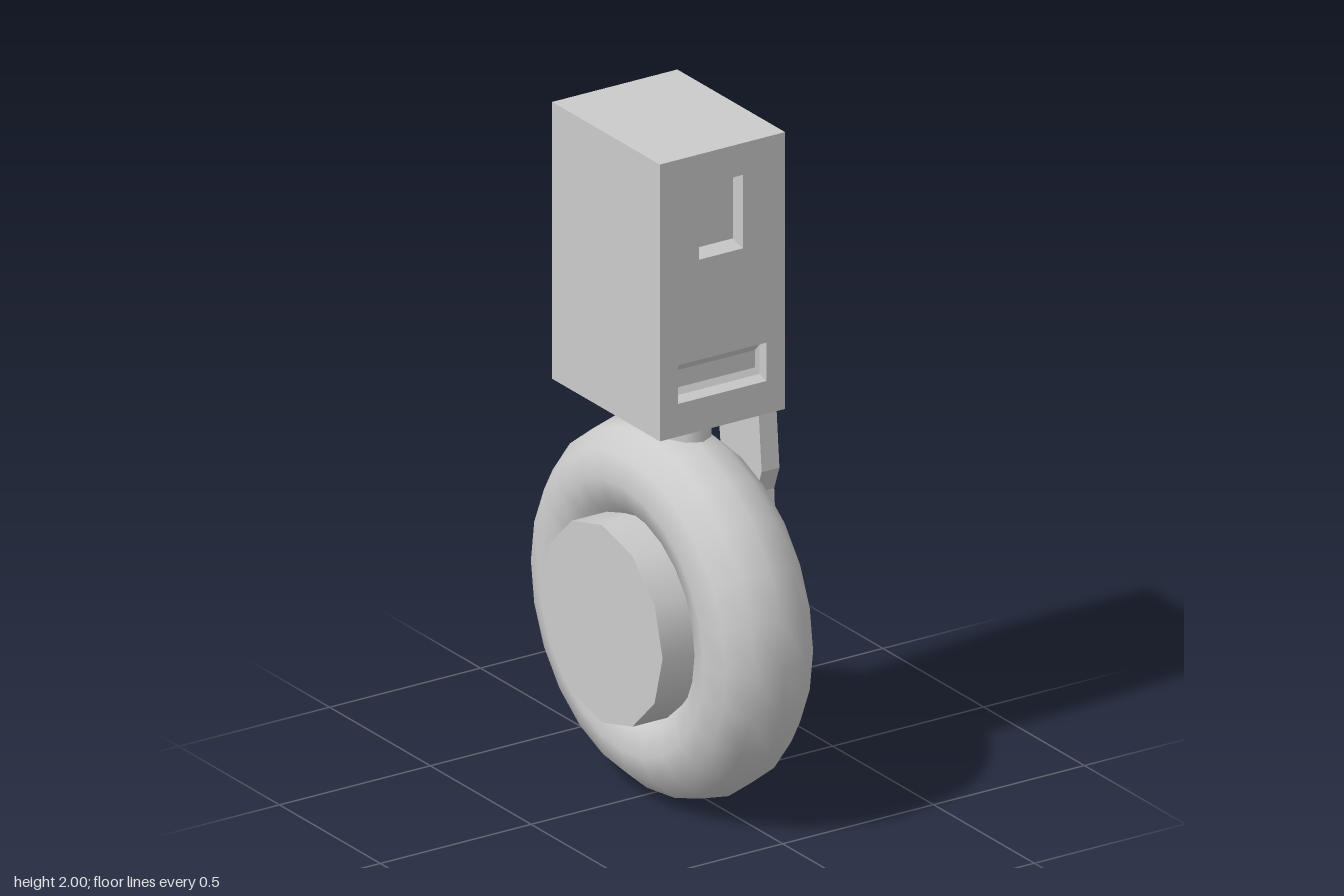
import * as THREE from 'three';

const material = new THREE.MeshStandardMaterial({ color: 0xcccccc });

// Rectangle [x0, x1, y0, y1] as counter-clockwise corners
const corners = ([x0, x1, y0, y1]) => [[x0, y0], [x1, y0], [x1, y1], [x0, y1]];

const toPath = (rect, Type) =>
  new Type(corners(rect).map(([x, y]) => new THREE.Vector2(x, y)));

// Sunken panel: walls through rectangles [x0, x1, y0, y1, z] from front to back, then a floor
function recessGeometry(rects) {
  const rings = rects.map(r => corners(r).map(([x, y]) => [x, y, r[4]]));
  const pos = [];
  const quad = (a, b, c, d) => pos.push(...a, ...b, ...c, ...a, ...c, ...d);
  for (let i = 0; i < rings.length - 1; i++) {
    for (let k = 0; k < 4; k++) {
      const n = (k + 1) % 4;
      quad(rings[i][k], rings[i][n], rings[i + 1][n], rings[i + 1][k]);
    }
  }
  quad(...rings[rings.length - 1]);
  const g = new THREE.BufferGeometry();
  g.setAttribute('position', new THREE.Float32BufferAttribute(pos, 3));
  g.computeVertexNormals();
  return g;
}

function boxGeometry(x0, x1, y0, y1, z0, z1) {
  return new THREE.BoxGeometry(x1 - x0, y1 - y0, z1 - z0)
    .translate((x0 + x1) / 2, (y0 + y1) / 2, (z0 + z1) / 2);
}

export function createModel() {
  const model = new THREE.Group();
  model.name = 'casterWheelLeg';
  const add = (name, geometry) => {
    const mesh = new THREE.Mesh(geometry, material);
    mesh.name = name;
    model.add(mesh);
  };

  // Housing: solid block with a pierced front slab
  const front = 0.25, slab = 0.06;
  const outline = [-0.24, 0.175, 1.172, 2];
  const windowRect = [-0.11, 0.035, 1.685, 1.905];
  const slotRect = [-0.18, 0.113, 1.27, 1.385];
  add('housing', boxGeometry(...outline, -0.285, front - slab));
  const face = toPath(outline, THREE.Shape);
  face.holes = [windowRect, slotRect].map(r => toPath(r, THREE.Path));
  add('housingFront', new THREE.ExtrudeGeometry(face, { depth: slab, bevelEnabled: false })
    .translate(0, 0, front - slab));

  // Sunken panels on the front
  add('upperRecess', recessGeometry([
    [...windowRect, front],
    [-0.1, 0.025, 1.705, 1.887, front - 0.035],
  ]));
  add('lowerRecess', recessGeometry([
    [...slotRect, front],
    [-0.174, 0.107, 1.284, 1.372, front - 0.025],
    [-0.165, 0.098, 1.302, 1.354, front - 0.035],
  ]));

  // Oval swivel under the housing
  add('swivel', new THREE.CylinderGeometry(1, 1, 0.085, 12)
    .scale(0.086, 1, 0.164).translate(-0.034, 1.1315, -0.008));

  // One-sided fork: arm and tapered leg
  add('forkArm', boxGeometry(0, 0.205, 1.09, 1.135, -0.137, 0.072));
  const profile = [
    [0.072, 1.135], [0.09, 0.92], [0.064, 0.85], [0.088, 0.47], [0.057, 0.424],
    [-0.028, 0.424], [-0.056, 0.47], [-0.087, 0.85], [-0.112, 0.92], [-0.137, 1.135],
  ];
  const leg = new THREE.Shape(profile.map(([z, y]) => new THREE.Vector2(-z, y)));
  add('forkLeg', new THREE.ExtrudeGeometry(leg, { depth: 0.059, bevelEnabled: false })
    .rotateY(Math.PI / 2).translate(0.204, 0, 0));

  // Wheel
  const axleY = 0.545;
  add('tyre', new THREE.TorusGeometry(0.406, 0.154, 12, 24)
    .rotateY(Math.PI / 2).scale(1.088, 0.973, 1).translate(-0.033, axleY, 0));
  add('hub', new THREE.CylinderGeometry(0.301, 0.301, 0.468, 12)
    .rotateZ(Math.PI / 2).scale(1, 0.98, 1).translate(-0.031, axleY, 0));

  return model;
}
